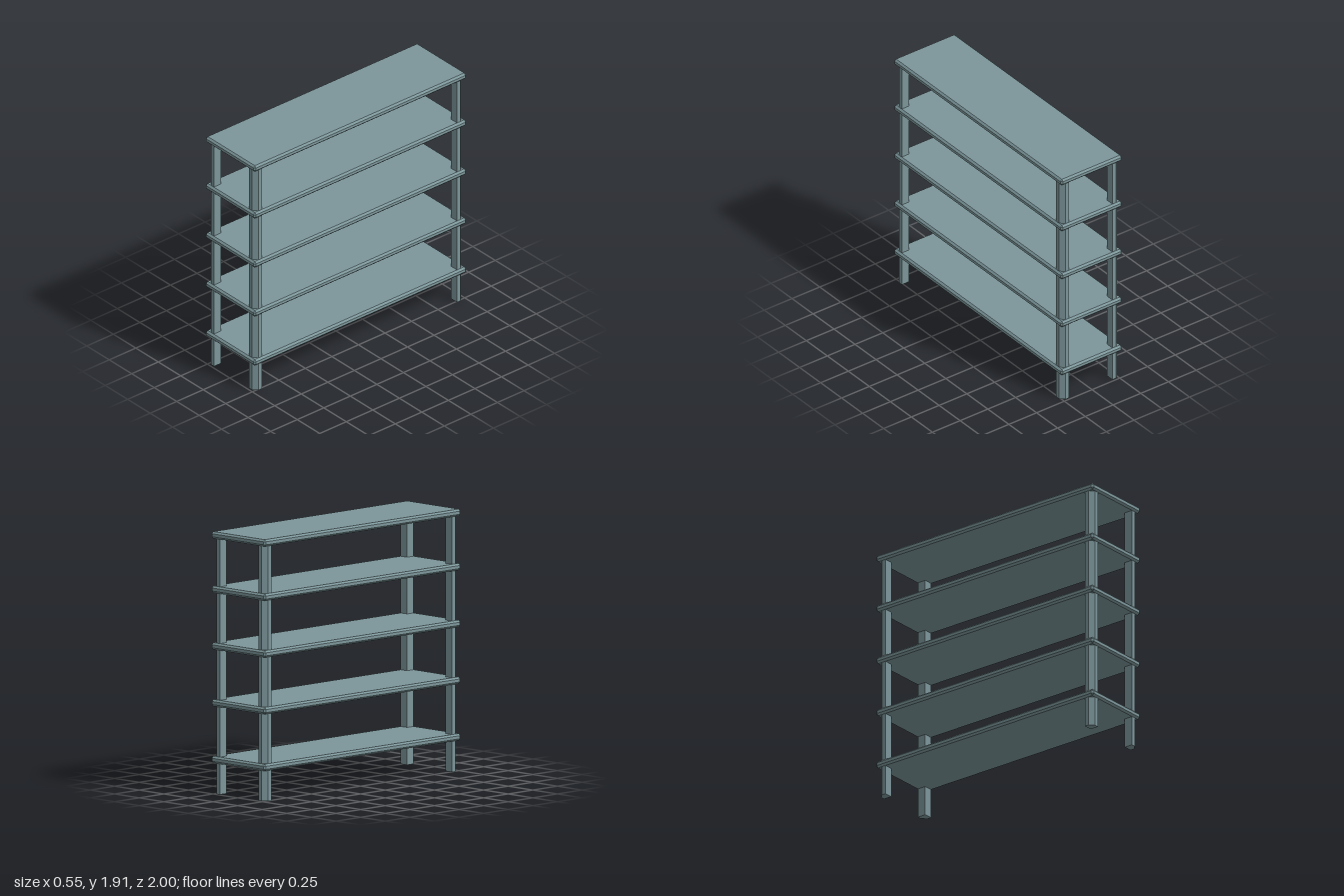
import * as THREE from 'three';
import { ConvexGeometry } from 'three/addons/geometries/ConvexGeometry.js';

// Box with every edge and corner cut at 45 degrees; hx, hy, hz are half sizes
function chamferedBox(hx, hy, hz, c) {
  const points = [];
  for (const sx of [-1, 1]) for (const sy of [-1, 1]) for (const sz of [-1, 1]) {
    points.push(
      new THREE.Vector3(sx * hx, sy * (hy - c), sz * (hz - c)),
      new THREE.Vector3(sx * (hx - c), sy * hy, sz * (hz - c)),
      new THREE.Vector3(sx * (hx - c), sy * (hy - c), sz * hz)
    );
  }
  return new ConvexGeometry(points);
}

// Square post whose outer corner is cut off; sx, sz choose the corner of the rack
function postGeometry(sx, sz, height) {
  const x0 = 0.195, x1 = 0.262, z0 = 0.918, z1 = 0.985, cut = 0.034;
  const outline = [[x0, z0], [x1, z0], [x1, z1 - cut], [x1 - cut, z1], [x0, z1]];
  const shape = new THREE.Shape(outline.map(([x, z]) => new THREE.Vector2(sx * x, -sz * z)));
  const geometry = new THREE.ExtrudeGeometry(shape, { depth: height, bevelEnabled: false });
  return geometry.rotateX(-Math.PI / 2);
}

export function createModel() {
  const model = new THREE.Group();
  model.name = 'shelvingRack';
  const slate = new THREE.MeshStandardMaterial({ color: 0x7c969a });
  slate.name = 'greyTeal';

  // Five shelf boards
  const board = chamferedBox(0.276, 0.025, 1, 0.014);
  [0.248, 0.661, 1.074, 1.487, 1.882].forEach((y, i) => {
    const shelf = new THREE.Mesh(board, slate);
    shelf.name = `shelf${i + 1}`;
    shelf.position.y = y;
    model.add(shelf);
  });

  // Four corner posts
  for (const sx of [-1, 1]) for (const sz of [-1, 1]) {
    const post = new THREE.Mesh(postGeometry(sx, sz, 1.87), slate);
    post.name = (sz > 0 ? 'front' : 'back') + (sx > 0 ? 'Left' : 'Right') + 'Post';
    model.add(post);
  }
  return model;
}
